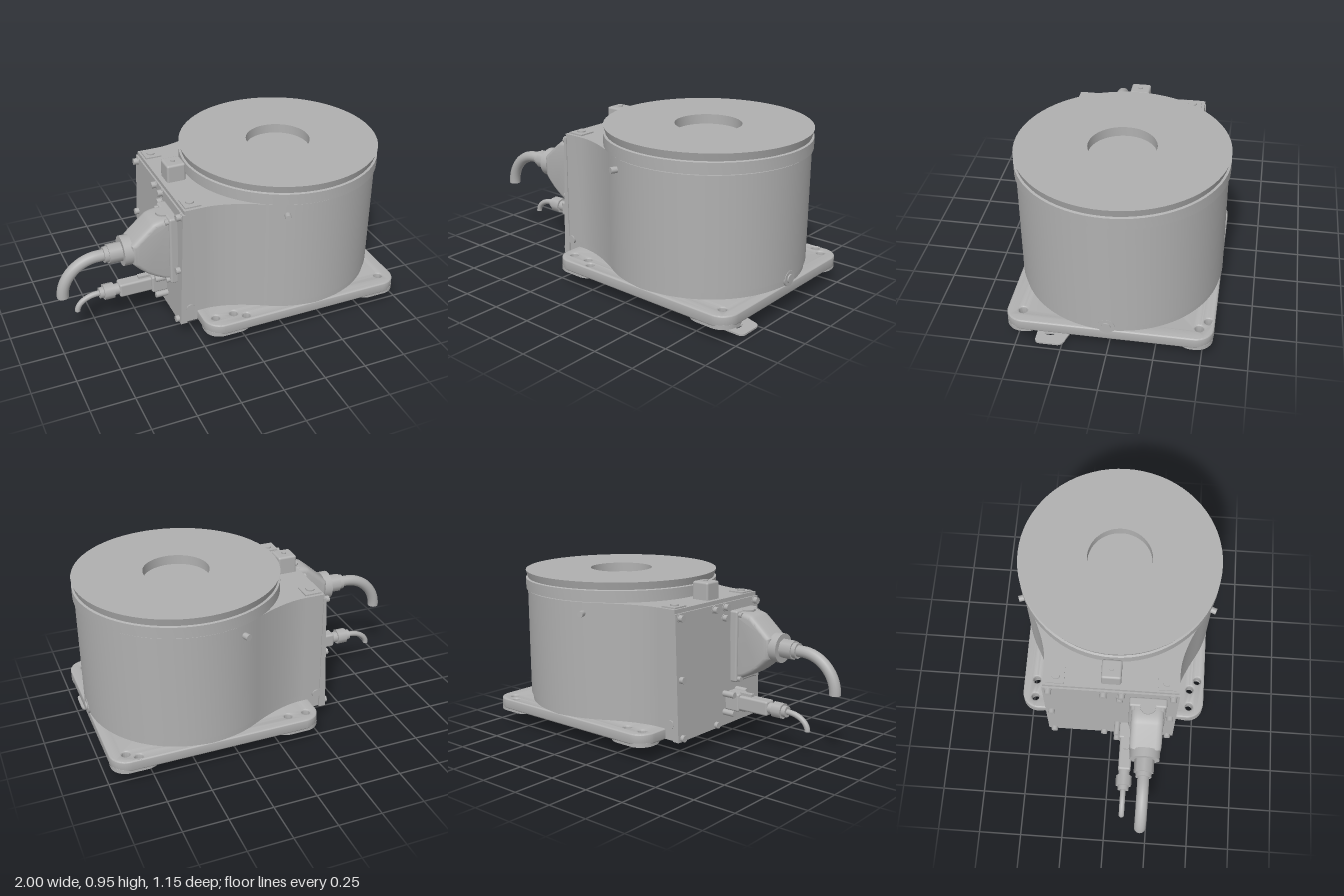
import * as THREE from 'three';
import { toCreasedNormals } from 'three/addons/utils/BufferGeometryUtils.js';
import { RoundedBoxGeometry } from 'three/addons/geometries/RoundedBoxGeometry.js';

const CX = 0.42; // drum axis

export function createModel() {
  const model = new THREE.Group();
  model.name = 'robotBase';
  const castGrey = new THREE.MeshStandardMaterial({ color: 0xb0b0b0 });
  castGrey.name = 'cast grey';

  const add = (name, geo, x = 0, y = 0, z = 0) => {
    const mesh = new THREE.Mesh(geo, castGrey);
    mesh.name = name;
    mesh.position.set(x, y, z);
    model.add(mesh);
    return mesh;
  };
  const box = (name, x0, x1, y0, y1, z0, z1) =>
    add(name, new THREE.BoxGeometry(x1 - x0, y1 - y0, z1 - z0), (x0 + x1) / 2, (y0 + y1) / 2, (z0 + z1) / 2);
  const softBox = (name, x0, x1, y0, y1, z0, z1, r) =>
    add(name, new RoundedBoxGeometry(x1 - x0, y1 - y0, z1 - z0, 3, r), (x0 + x1) / 2, (y0 + y1) / 2, (z0 + z1) / 2);
  // cylinder along an axis, centred on the given point
  const rod = (name, axis, r, len, x, y, z, sides = 24) => {
    const geo = new THREE.CylinderGeometry(r, r, len, sides);
    if (axis === 'x') geo.rotateZ(Math.PI / 2);
    if (axis === 'z') geo.rotateX(Math.PI / 2);
    return add(name, geo, x, y, z);
  };
  // plan outline raised from y0 to y1 (shape y is minus z)
  const raise = (name, shape, y0, y1, bevel = 0) => {
    const geo = new THREE.ExtrudeGeometry(shape, {
      depth: y1 - y0 - 2 * bevel, curveSegments: 32, bevelEnabled: bevel > 0,
      bevelSize: bevel, bevelThickness: bevel, bevelOffset: -bevel, bevelSegments: 3,
    });
    geo.rotateX(-Math.PI / 2);
    return add(name, toCreasedNormals(geo, 0.6), 0, y0 + bevel, 0);
  };

  // Housing: drum blended into a narrower connector box
  const housing = (r, w, back) => {
    const a = 2.09, s = new THREE.Shape();
    const px = CX + r * Math.cos(a), pz = r * Math.sin(a);
    const kx = px - (pz - w) * Math.tan(Math.PI - a + Math.PI / 2 - Math.PI / 2);
    s.moveTo(back, -w);
    s.lineTo(-0.2, -w);
    s.quadraticCurveTo(Math.min(kx, -0.05), -w, px, -pz);
    s.absarc(CX, 0, r, -a, a, false);
    s.quadraticCurveTo(Math.min(kx, -0.05), w, -0.2, w);
    s.lineTo(back, w);
    s.closePath();
    return s;
  };
  raise('housing', housing(0.565, 0.375, -0.312), 0.2, 0.838);
  raise('housingSkirt', housing(0.556, 0.367, -0.312), 0.1, 0.2);

  // Turning flange with shallow centre recess
  const flange = [[0.55, 0.835], [0.55, 0.845], [0.575, 0.845], [0.575, 0.908], [0.563, 0.912],
    [0.575, 0.955], [0.185, 0.955], [0.185, 0.9], [0, 0.9]];
  add('turningFlange', toCreasedNormals(
    new THREE.LatheGeometry(flange.map(([x, y]) => new THREE.Vector2(x, y)), 72), 0.3), CX, 0, 0);

  // Square base with bolt holes and lower corner feet
  const holes = [[-0.17, -0.48], [-0.06, -0.48], [0.83, -0.525], [0.89, -0.48],
    [-0.17, 0.47], [-0.06, 0.47], [0, 0.515], [0.89, 0.47]];
  const roundRect = (x0, z0, x1, z1, r) => {
    const s = new THREE.Shape(), h = Math.PI / 2;
    s.absarc(x1 - r, z1 - r, r, 0, h, false);
    s.absarc(x0 + r, z1 - r, r, h, 2 * h, false);
    s.absarc(x0 + r, z0 + r, r, 2 * h, 3 * h, false);
    s.absarc(x1 - r, z0 + r, r, 3 * h, 4 * h, false);
    s.closePath();
    for (const [x, z] of holes) {
      if (x > x0 && x < x1 && -z > z0 && -z < z1) {
        s.holes.push(new THREE.Path().absarc(x, -z, 0.023, 0, Math.PI * 2, true));
      }
    }
    return s;
  };
  raise('basePlate', roundRect(-0.24, -0.558, 0.978, 0.558, 0.1), 0.097, 0.16, 0.008);
  for (const [x0, x1] of [[-0.238, 0.04], [0.7, 0.976]]) {
    for (const [z0, z1] of [[-0.556, -0.36], [0.36, 0.556]]) {
      raise('cornerFoot', roundRect(x0, z0, x1, z1, 0.09), 0.085, 0.11);
    }
  }

  // Bent bracket below the base
  const tray = new THREE.Shape();
  tray.moveTo(0.13, -0.02);
  tray.lineTo(0.13, -0.06);
  tray.quadraticCurveTo(0.08, -0.2, -0.1, -0.24);
  tray.quadraticCurveTo(-0.13, -0.25, -0.13, -0.28);
  tray.lineTo(-0.13, -0.37);
  tray.quadraticCurveTo(-0.13, -0.4, -0.1, -0.4);
  tray.lineTo(0.94, -0.4);
  tray.quadraticCurveTo(0.97, -0.4, 0.97, -0.37);
  tray.lineTo(0.97, -0.28);
  tray.quadraticCurveTo(0.97, -0.25, 0.94, -0.24);
  tray.quadraticCurveTo(0.76, -0.2, 0.71, -0.06);
  tray.lineTo(0.71, -0.02);
  tray.closePath();
  for (const x of [-0.06, -0.01, 0.85, 0.9]) {
    tray.holes.push(new THREE.Path().absellipse(x, -0.33, 0.008, 0.03, 0, Math.PI * 2, true));
  }
  raise('bracketTray', tray, 0, 0.01);
  box('bracketWeb', 0.13, 0.71, 0.02, 0.1, 0, 0.01);
  // quarter-round bend joining web and tray
  const bend = new THREE.Shape();
  bend.absarc(0, 0, 0.02, Math.PI, Math.PI * 1.5, false);
  bend.absarc(0, 0, 0.01, Math.PI * 1.5, Math.PI, true);
  bend.closePath();
  const bendGeo = new THREE.ExtrudeGeometry(bend, { depth: 0.58, bevelEnabled: false });
  bendGeo.rotateY(-Math.PI / 2);
  add('bracketBend', bendGeo, 0.71, 0.02, 0.02);

  // Slightly sloping connector plate and its bolts
  const wedge = new THREE.Shape([[-0.345, 0.1], [-0.305, 0.1], [-0.305, 0.815], [-0.322, 0.815]]
    .map(([x, y]) => new THREE.Vector2(x, y)));
  add('connectorPlate', new THREE.ExtrudeGeometry(wedge, { depth: 0.76, bevelEnabled: false }), 0, 0, -0.38);
  for (const [y, z] of [[0.79, -0.345], [0.79, -0.04], [0.79, 0.06], [0.79, 0.345], [0.73, 0.05],
    [0.45, -0.345], [0.45, 0.345], [0.12, -0.345], [0.12, -0.04], [0.12, 0.345]]) {
    rod('plateBolt', 'x', 0.019, 0.04, -0.345 + (y - 0.1) * 0.02, y, z, 12);
    rod('boltWasher', 'x', 0.024, 0.01, -0.335 + (y - 0.1) * 0.02, y, z, 16);
  }

  // Lug, pads and screws on the housing
  softBox('topLug', -0.285, -0.175, 0.82, 0.94, -0.055, 0.055, 0.012);
  rod('lugScrew', 'y', 0.013, 0.012, -0.23, 0.942, 0, 12);
  for (const s of [-1, 1]) {
    box('topPad', -0.3, -0.205, 0.83, 0.846, s * 0.307 - 0.05, s * 0.307 + 0.05);
    rod('padScrew', 'y', 0.024, 0.012, -0.255, 0.848, s * 0.305);
    rod('sidePlug', 'z', 0.025, 0.02, -0.285, 0.195, s * 0.372);
    const bolt = rod('drumBolt', 'z', 0.018, 0.05, 0.22, 0.775, s * 0.54, 12);
    bolt.rotation.y = -s * 0.36;
  }
  rod('drumPlugBoss', 'x', 0.045, 0.02, 0.977, 0.195, 0);
  rod('drumPlug', 'x', 0.025, 0.02, 0.985, 0.195, 0);

  // Large power connector
  const hood = new THREE.Shape();
  hood.moveTo(-0.34, 0.36);
  hood.lineTo(-0.38, 0.365);
  hood.quadraticCurveTo(-0.5, 0.41, -0.58, 0.51);
  hood.lineTo(-0.585, 0.63);
  hood.quadraticCurveTo(-0.52, 0.69, -0.46, 0.74);
  hood.quadraticCurveTo(-0.42, 0.76, -0.34, 0.755);
  hood.closePath();
  add('powerHood', toCreasedNormals(new THREE.ExtrudeGeometry(hood, {
    depth: 0.11, curveSegments: 10, bevelSize: 0.025, bevelThickness: 0.035, bevelOffset: -0.025, bevelSegments: 4,
  }), 0.6), 0, 0, 0.155);
  softBox('hoodFrame', -0.375, -0.32, 0.345, 0.765, 0.105, 0.315, 0.012);
  rod('hoodKnob', 'y', 0.045, 0.04, -0.372, 0.745, 0.21, 12);
  for (const z of [0.13, 0.29]) {
    for (const y of [0.365, 0.74]) rod('hoodScrew', 'x', 0.016, 0.04, -0.375, y, z, 12);
  }
  rod('powerCollar', 'x', 0.085, 0.05, -0.6, 0.57, 0.21, 32);
  rod('powerNut', 'x', 0.056, 0.08, -0.66, 0.57, 0.21, 8);
  rod('powerSeal', 'x', 0.045, 0.03, -0.71, 0.57, 0.21);

  // Small signal connector
  softBox('signalSocket', -0.43, -0.33, 0.19, 0.295, 0.055, 0.15, 0.01);
  softBox('signalPlug', -0.62, -0.4, 0.2, 0.285, 0.063, 0.137, 0.012);
  box('signalLatch', -0.5, -0.42, 0.28, 0.3, 0.085, 0.115);
  rod('signalCollar', 'x', 0.033, 0.05, -0.63, 0.243, 0.1);
  rod('signalNut', 'x', 0.047, 0.06, -0.68, 0.243, 0.1, 8);
  rod('signalSeal', 'x', 0.032, 0.03, -0.72, 0.243, 0.1);
  for (const y of [0.18, 0.29]) {
    for (const z of [0.04, 0.16]) rod('socketScrew', 'x', 0.018, 0.08, -0.375, y, z, 12);
  }

  // Cables: straight out, then a quarter bend downwards
  const cable = (name, x0, x1, y, y1, z, r) => {
    const rx = (x0 - x1) * 0.8, path = new THREE.CurvePath(), k = 0.55, ry = y - y1;
    const v = (a, b) => new THREE.Vector3(a, b, z);
    path.add(new THREE.LineCurve3(v(x0, y), v(x1 + rx, y)));
    path.add(new THREE.CubicBezierCurve3(v(x1 + rx, y), v(x1 + rx * (1 - k), y), v(x1, y1 + ry * k), v(x1, y1)));
    add(name, new THREE.TubeGeometry(path, 32, r, 16));
    const cap = new THREE.CircleGeometry(r, 16);
    cap.rotateX(Math.PI / 2);
    add(name + 'End', cap, x1, y1, z);
  };
  cable('powerCable', -0.7, -0.967, 0.57, 0.358, 0.21, 0.033);
  cable('signalCable', -0.71, -0.867, 0.243, 0.157, 0.1, 0.016);

  return model;
}
